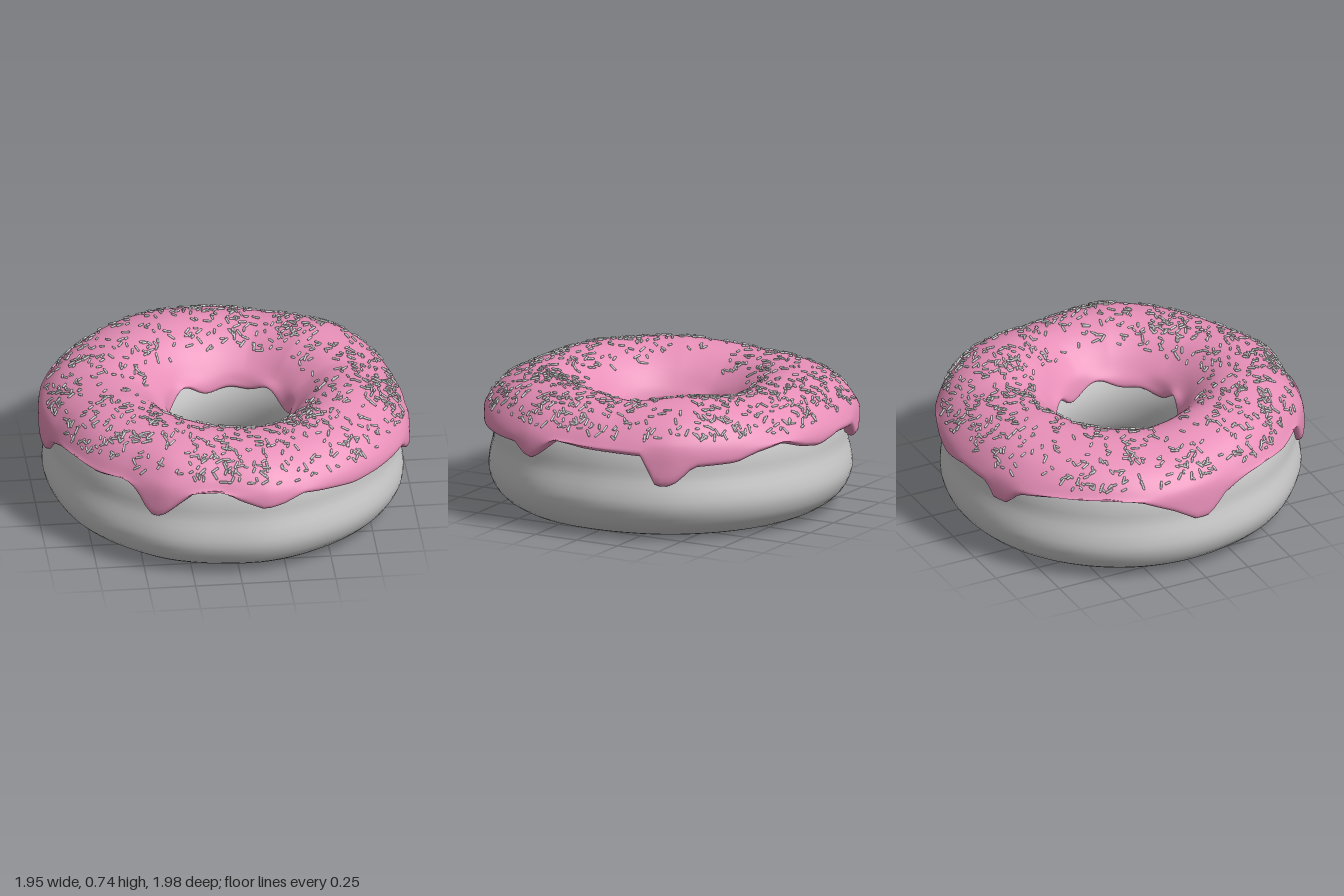
import * as THREE from 'three';
import { mergeGeometries } from 'three/addons/utils/BufferGeometryUtils.js';

const DEG = Math.PI / 180;

// Tables around the ring: [degrees, value], 0 = +x, 90 = +z
const HEM = [[0, .49], [9, .51], [15, .43], [18, .4], [21, .41], [25, .46], [39, .45], [51, .44], [62, .46],
  [70, .48], [77, .44], [83, .425], [90, .47], [97, .525], [105, .51], [110, .44], [116, .35], [120, .35],
  [125, .47], [130, .51], [141, .485], [152, .51], [163, .48], [171, .43], [177, .34], [182, .34], [190, .42],
  [200, .49], [211, .52], [228, .5], [240, .47], [245, .39], [250, .39], [253, .46], [265, .47], [276, .44],
  [284, .46], [292, .5], [302, .47], [309, .43], [323, .42], [328, .34], [332, .31], [336, .33], [339, .475]];
const OUTLINE = [[3, .97], [19, 1.02], [38, 1.01], [60, .985], [81, 1], [96, .955], [114, .976], [129, .945],
  [150, .95], [168, .94], [185, .973], [201, .994], [215, 1], [240, 1.01], [262, .99], [279, .99], [294, .985],
  [311, .99], [330, 1], [348, .97]];
const SWELL = [[20, .01], [68, -.02], [120, .015], [160, .015], [190, -.018], [250, .01], [290, -.018],
  [320, .015], [350, -.02]];

// Periodic linear lookup
function around(table, angle) {
  const d = ((angle / DEG) % 360 + 360) % 360;
  let k = table.findIndex((e) => e[0] > d);
  if (k < 0) k = table.length;
  const n = table.length;
  const a = table[(k - 1 + n) % n], b = table[k % n];
  const span = (b[0] - a[0] + 360) % 360;
  return a[1] + (b[1] - a[1]) * (((d - a[0] + 360) % 360) / span);
}

function seeded(seed) {
  let s = seed;
  return () => {
    s = (s * 16807) % 2147483647;
    return s / 2147483647;
  };
}

// Put a profile point on the ring: lumpy outer side, hole a little off centre
function onRing(r, y, a, lump) {
  const outer = THREE.MathUtils.smoothstep(r, 0.45, 0.92);
  const top = THREE.MathUtils.smoothstep(y, 0.5, 0.66);
  const R = r * (1 + outer * lump * (around(OUTLINE, a) / 0.972 - 1));
  return new THREE.Vector3(R * Math.cos(a) + 0.035 * (1 - outer), y + top * around(SWELL, a), R * Math.sin(a));
}

// Sweep a cross-section curve (given per angle) around the ring
function sweep(curveAt, segments, steps, closed) {
  const positions = [], index = [];
  const row = steps + (closed ? 0 : 1);
  for (let i = 0; i < segments; i++) {
    const curve = curveAt((i / segments) * Math.PI * 2);
    for (let j = 0; j < row; j++) positions.push(...curve.getPoint(j / steps).toArray());
    for (let j = 0; j < steps; j++) {
      const i2 = (i + 1) % segments, j2 = (j + 1) % row;
      const a = i * row + j, b = i * row + j2, c = i2 * row + j, d = i2 * row + j2;
      index.push(a, b, c, b, d, c);
    }
  }
  const g = new THREE.BufferGeometry();
  g.setAttribute('position', new THREE.Float32BufferAttribute(positions, 3));
  g.setIndex(index);
  g.computeVertexNormals();
  return g;
}

// Dough: from the foot, up the outside, over the top and down the hole
const DOUGH = [[.74, 0], [.83, .025], [.915, .09], [.957, .18], [.955, .26], [.935, .35], [.932, .43], [.915, .51],
  [.875, .57], [.79, .63], [.65, .66], [.52, .63], [.42, .56], [.37, .46], [.347, .36], [.36, .25], [.4, .15],
  [.48, .06], [.6, .005]];
function doughCurve(a) {
  return new THREE.CatmullRomCurve3(DOUGH.map(([r, y]) => onRing(r, y, a, 0.35)), true);
}

// Icing: from under the outer lip, over the top, to under the inner lip
function icingCurve(a) {
  const h = around(HEM, a);
  const inner = 0.45 + 0.025 * Math.sin(5 * a) + 0.02 * Math.sin(8 * a + 1);
  const ri = 0.326 + 0.008 * Math.sin(5 * a + 2);
  const profile = [[.905, h + .03], [.945, h], [.97, h + .015], [.974, h + (.53 - h) * .5], [.962, .53],
    [.93, .58], [.87, .642], [.78, .69], [.65, .715], [.53, .69], [.43, .62], [.36, .54],
    [ri + .006, (inner + .54) / 2], [ri, inner + .015], [ri + .015, inner], [.38, inner + .03]];
  return new THREE.CatmullRomCurve3(profile.map(([r, y]) => onRing(r, y, a, 1)));
}

// Sprinkles: short rods lying on the icing in random directions
function sprinkleGeometry(count) {
  const rand = seeded(4711);
  const rods = [0.014, 0.022, 0.034].map((len) => new THREE.CapsuleGeometry(0.0065, len, 2, 6));
  const parts = [];
  const along = new THREE.Vector3(), side = new THREE.Vector3(), normal = new THREE.Vector3();
  while (parts.length < count) {
    const a = rand() * Math.PI * 2;
    const u = (4.7 + rand() * 5.2) / 15;
    const curve = icingCurve(a);
    const p = curve.getPoint(u);
    // even spread by area, with loose clusters
    const cluster = 0.65 + 0.35 * Math.sin(7 * p.x + 2) * Math.sin(8 * p.z + 1);
    if (rand() > Math.hypot(p.x, p.z) * cluster) continue;
    along.copy(curve.getPoint(u + 0.01)).sub(p).normalize();
    side.copy(icingCurve(a + 0.02).getPoint(u)).sub(p).normalize();
    normal.crossVectors(along, side).normalize();
    side.crossVectors(normal, along);
    const spin = rand() * Math.PI * 2;
    const dir = along.clone().multiplyScalar(Math.cos(spin)).addScaledVector(side, Math.sin(spin));
    const m = new THREE.Matrix4().makeBasis(new THREE.Vector3().crossVectors(dir, normal), dir, normal);
    m.setPosition(p.addScaledVector(normal, 0.004));
    parts.push(rods[Math.floor(rand() * rods.length)].clone().applyMatrix4(m));
  }
  return mergeGeometries(parts);
}

export function createModel() {
  const group = new THREE.Group();
  group.name = 'icedRing';
  const add = (name, geometry, options) => {
    const mesh = new THREE.Mesh(geometry, new THREE.MeshStandardMaterial(options));
    mesh.name = name;
    group.add(mesh);
  };
  add('dough', sweep(doughCurve, 96, 48, true), { color: 0xcccccc });
  add('icing', sweep(icingCurve, 160, 60, false), { color: 0xe78fb8, side: THREE.DoubleSide });
  add('sprinkles', sprinkleGeometry(1050), { color: 0xcccccc });
  return group;
}
